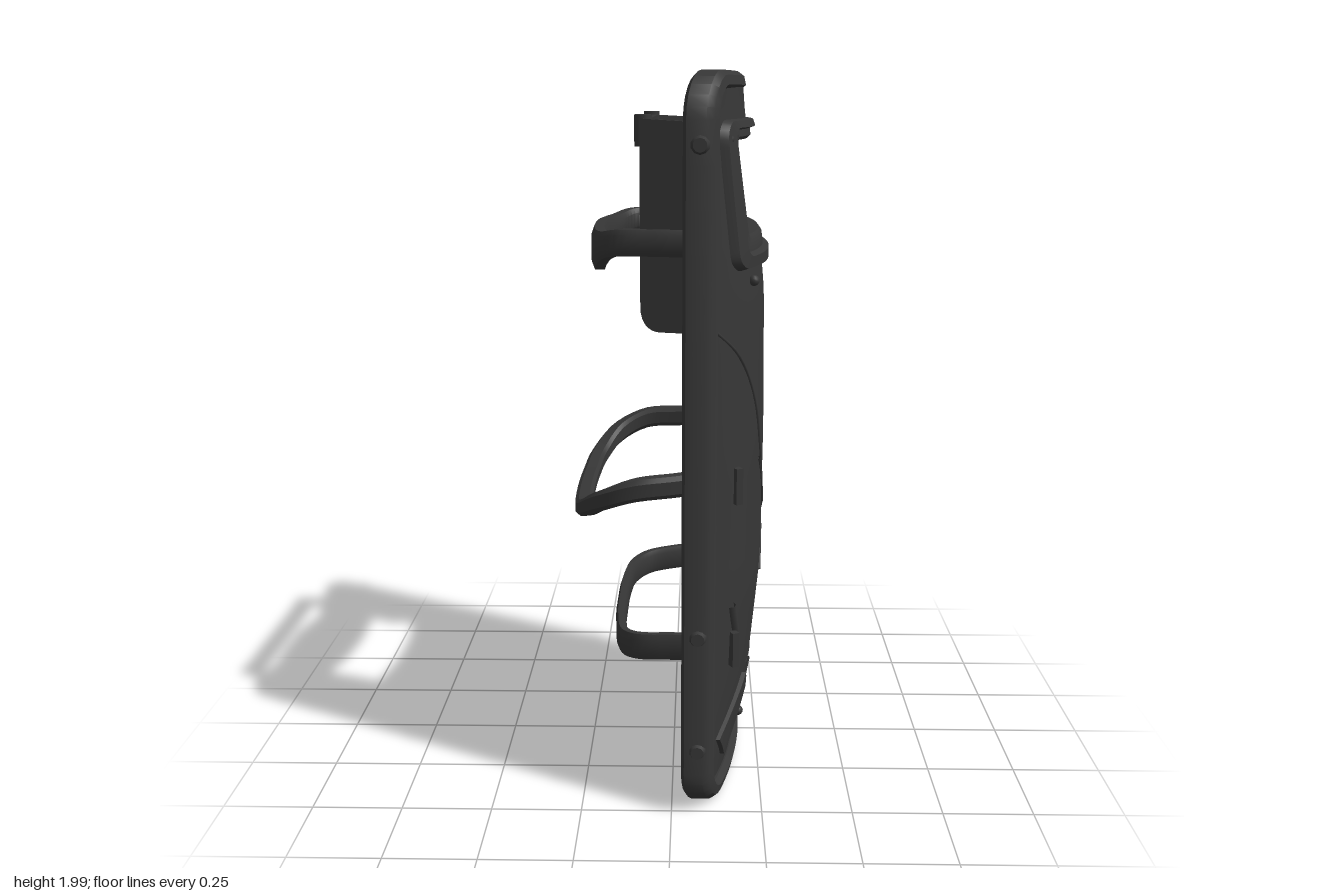
import * as THREE from 'three';
import { toCreasedNormals } from 'three/addons/utils/BufferGeometryUtils.js';

const V = (x, y, z) => new THREE.Vector3(x, y, z);
const lerp = THREE.MathUtils.lerp;

// Sideways curve of the shield, and the extra bulge of its outer face
const curve = z => 0.15 - 0.085 * (z / 0.5) ** 2;
const BULGE = [[0, 0], [0.05, 0.03], [0.15, 0.3], [0.3, 0.62], [0.6, 0.95], [1, 1], [1.4, 0.95], [1.5, 0.85], [1.9, 0.27], [2.1, 0.1]];
function bulge(y) {
  let i = 1;
  while (i < BULGE.length - 1 && BULGE[i][0] < y) i++;
  const [a, b] = [BULGE[i - 1], BULGE[i]];
  return lerp(a[1], b[1], (y - a[0]) / (b[0] - a[0]));
}
const surf = (z, y) => curve(z) + 0.02 + 0.09 * bulge(y) * Math.max(0, 1 - Math.abs(z / 0.5) ** 3.7);

// Skin through equal rows of points; keep(i, j) may leave cells open
function skin(rows, closeRow, closeAll, crease = 0.6, keep = () => true) {
  const n = rows[0].length, m = rows.length, idx = [];
  for (let i = 0; i < (closeAll ? m : m - 1); i++)
    for (let j = 0; j < (closeRow ? n : n - 1); j++) {
      if (!keep(i, j)) continue;
      const a = i * n + j, b = i * n + (j + 1) % n, k = ((i + 1) % m) * n;
      idx.push(a, b, k + j, b, k + (j + 1) % n, k + j);
    }
  const g = new THREE.BufferGeometry().setFromPoints(rows.flat());
  g.setIndex(idx);
  g.computeVertexNormals();
  return crease ? toCreasedNormals(g, crease) : g;
}

// Rounded trapezoid outline in (z, y), with its straight sides subdivided
function outline(wt, wb, y0, y1, r) {
  const pts = [];
  const c = [[wt - r, y1 - r], [r - wt, y1 - r], [r - wb, y0 + r], [wb - r, y0 + r]];
  c.forEach(([z, y], k) => {
    for (let i = 0; i <= 6; i++) {
      const a = (k + i / 6) * Math.PI / 2;
      pts.push([z + r * Math.cos(a), y + r * Math.sin(a)]);
    }
    const [z0, yy0] = pts[pts.length - 1], a = (k + 1) * Math.PI / 2, q = c[(k + 1) % 4];
    const z1 = q[0] + r * Math.cos(a), yy1 = q[1] + r * Math.sin(a);
    for (let i = 1; i < 16; i++) pts.push([lerp(z0, z1, i / 16), lerp(yy0, yy1, i / 16)]);
  });
  return pts;
}

// Flat band along a path; its height goes from h at the ends to hMid halfway
function strap(points, w, h, hMid) {
  const path = new THREE.CatmullRomCurve3(points, false, 'centripetal'), rows = [];
  for (let i = 0; i <= 60; i++) {
    const p = path.getPointAt(i / 60), t = path.getTangentAt(i / 60);
    const s = V(t.z, 0, -t.x).normalize(), up = V(0, 1, 0);
    const tall = lerp(h, hMid, THREE.MathUtils.smoothstep(1 - Math.abs(i / 30 - 1), 0.42, 0.85));
    rows.push([[1, 0.6], [0.6, 1], [-0.6, 1], [-1, 0.6], [-1, -0.6], [-0.6, -1], [0.6, -1], [1, -0.6]]
      .map(([a, b]) => p.clone().addScaledVector(s, a * w / 2).addScaledVector(up, b * tall / 2)));
  }
  return skin(rows, true, false);
}

export function createModel() {
  const root = new THREE.Group();
  const dark = new THREE.MeshStandardMaterial({ color: 0x373737, side: THREE.DoubleSide });
  dark.name = 'charcoal';
  const add = (name, geo) => {
    const m = new THREE.Mesh(geo, dark);
    m.name = name;
    root.add(m);
    return m;
  };

  // Curved panel: outer and inner skin, open at the window and the slot
  const zs = Array.from({ length: 35 }, (_, i) => -0.51 + 0.03 * i);
  const ys = Array.from({ length: 26 }, (_, i) => 0.03 + 0.06 * i)
    .concat([1.56, 1.62, 1.7, 1.78, 1.85, 1.895, 1.91, 1.95, 1.98]);
  const half = y => {
    const e = Math.max(0, 0.13 - y, y - 1.88);
    return 0.4 + Math.sqrt(Math.max(0, 0.01 - e * e));
  };
  const keep = (i, j) => {
    const y = (ys[i] + ys[i + 1]) / 2, z = Math.abs(zs[j] + zs[j + 1]) / 2;
    return !(y > 1.55 && y < 1.86 && z < 0.33) && !(y > 1.895 && y < 1.91 && z < 0.06);
  };
  for (const [name, off] of [['outerPanel', 0], ['innerPanel', -0.03]])
    add(name, skin(ys.map(y => zs.map(z => {
      const c = THREE.MathUtils.clamp(z, -half(y), half(y));
      return V(surf(c, y) + off, y, c);
    })), false, false, 0, keep));

  // Thick rim around the panel
  const rim = [[0, -0.024], [0, 0.026], [0.012, 0.042], [0.036, 0.047], [0.048, 0.03],
    [0.048, -0.03], [0.036, -0.044], [0.012, -0.036]];
  add('rim', skin(rim.map(([o, d]) => outline(0.515 - o, 0.52 - o, 0.01 + o, 2 - o, 0.12 - o)
    .map(([z, y]) => V(curve(z) + d, y, z))), true, true));

  // Raised window frame
  const frame = [[0, -0.01], [0.1, 0.02], [0.42, 0.024], [0.52, 0.008], [0.85, 0.008], [1, 0],
    [1, -0.04], [0.6, -0.048], [0, -0.04]];
  add('windowFrame', skin(frame.map(([t, d]) =>
    outline(lerp(0.44, 0.31, t), lerp(0.415, 0.29, t), lerp(1.49, 1.58, t), lerp(1.88, 1.825, t), lerp(0.05, 0.015, t))
      .map(([z, y]) => V(surf(z, y) + d, y, z))), true, true));

  // Rear bracket: two side plates joined by a top bar
  const plate = new THREE.Shape();
  plate.moveTo(0.09, 1.87);
  plate.lineTo(-0.085, 1.88);
  plate.lineTo(-0.085, 1.39);
  plate.quadraticCurveTo(-0.08, 1.33, -0.03, 1.33);
  plate.lineTo(0.09, 1.33);
  for (const s of [1, -1]) {
    const g = new THREE.ExtrudeGeometry(plate, { depth: 0.032, bevelEnabled: false });
    const p = g.attributes.position;
    for (let i = 0; i < p.count; i++)
      p.setZ(i, p.getZ(i) - 0.016 + s * (0.335 + (p.getX(i) + 0.08) * 0.25));
    g.computeVertexNormals();
    add('bracketPlate', g);
    add('bracketCorner', new THREE.CylinderGeometry(0.024, 0.024, 0.08, 10)).position.set(-0.076, 1.85, s * 0.325);
  }
  add('bracketBar', new THREE.BoxGeometry(0.04, 0.045, 0.66)).position.set(-0.078, 1.857, 0);

  // Three rear handles, mirrored from half a path
  const handles = [
    ['upperHandle', 0.045, 0.07, 0.125, [[0.05, 1.565, 0.375], [-0.05, 1.565, 0.355], [-0.14, 1.562, 0.325], [-0.185, 1.545, 0.25], [-0.207, 1.525, 0.12]]],
    ['middleHandle', 0.05, 0.06, 0.036, [[0.155, 0.92, 0.37], [0.09, 0.925, 0.38], [0, 0.92, 0.4], [-0.1, 0.91, 0.41], [-0.19, 0.87, 0.373], [-0.243, 0.82, 0.28], [-0.257, 0.805, 0.15]]],
    ['lowerHandle', 0.03, 0.075, 0.07, [[0.15, 0.45, 0.38], [0.09, 0.45, 0.385], [0, 0.445, 0.37], [-0.09, 0.435, 0.345], [-0.135, 0.425, 0.29], [-0.155, 0.42, 0.15]]],
  ];
  for (const [name, w, h, hMid, pts] of handles) {
    const a = pts.map(p => V(...p)), b = pts.map(([x, y, z]) => V(x, y, -z)).reverse();
    add(name, strap([...a, V(a[a.length - 1].x - 0.003, a[a.length - 1].y, 0), ...b], w, h, hMid));
    if (name !== 'upperHandle')
      for (const s of [1, -1]) {
        const tab = add('handleTab', new THREE.BoxGeometry(0.02, 0.1, 0.11));
        tab.position.set(pts[0][0], pts[0][1], s * 0.36);
        tab.rotation.y = s * 0.5;
      }
  }

  // Rim bolts on both edges
  for (const s of [1, -1])
    for (const y of [1.82, 0.53, 0.2]) {
      const bolt = add('rimBolt', new THREE.CylinderGeometry(0.018, 0.026, 0.02, 10));
      bolt.rotation.x = s * Math.PI / 2;
      bolt.position.set(0.07, y, s * 0.52);
    }

  // Small studs on the outer face
  for (const [z, y] of [[-0.11, 1.52], [0.2, 1.52], [-0.3, 1.46], [0.3, 1.46], [0.4, 1.83], [-0.4, 1.83], [-0.37, 0.19], [0.1, 0.12]])
    add('stud', new THREE.SphereGeometry(0.015, 10, 8)).position.set(surf(z, y) + 0.008, y, z);

  // Raised scars and seams following the outer face
  const scars = [
    [0.005, [[0.48, 1.36], [0.38, 1.27], [0.27, 1.12], [0.2, 0.96], [0.08, 0.78]]],
    [0.005, [[0.22, 0.95], [0.08, 0.8], [-0.06, 0.7]]],
    [0.009, [[0.03, 0.55], [-0.08, 0.7], [-0.22, 0.87]]],
    [0.004, [[-0.22, 0.9], [-0.32, 1.14], [-0.45, 1.2]]],
    [0.006, [[0.1, 0.11], [0.12, 0.2], [0.11, 0.3]]],
    [0.006, [[-0.19, 0.06], [-0.2, 0.2], [-0.23, 0.33]]],
    [0.004, [[0.22, 0.33], [0, 0.31], [-0.22, 0.33]]],
    [0.013, [[0.4, 0.58], [0.385, 0.53], [0.36, 0.46]]],
    [0.015, [[-0.38, 0.6], [-0.37, 0.53], [-0.36, 0.46]]],
    [0.005, [[-0.33, 0.59], [-0.39, 0.61], [-0.46, 0.61]]],
  ];
  for (const [r, pts] of scars) {
    const path = new THREE.CatmullRomCurve3(pts.map(([z, y]) => V(surf(z, y), y, z)));
    add('scar', new THREE.TubeGeometry(path, 24, r, 6));
  }

  // Patch plate near the lower corner
  const patch = new THREE.BoxGeometry(0.024, 0.09, 0.21, 1, 4, 8);
  patch.rotateX(0.66);
  const p = patch.attributes.position;
  for (let i = 0; i < p.count; i++) {
    const y = p.getY(i) + 0.22, z = p.getZ(i) + 0.32;
    p.setXYZ(i, p.getX(i) + surf(z, y), y, z);
  }
  add('patchPlate', toCreasedNormals(patch, 0.5));

  return root;
}
